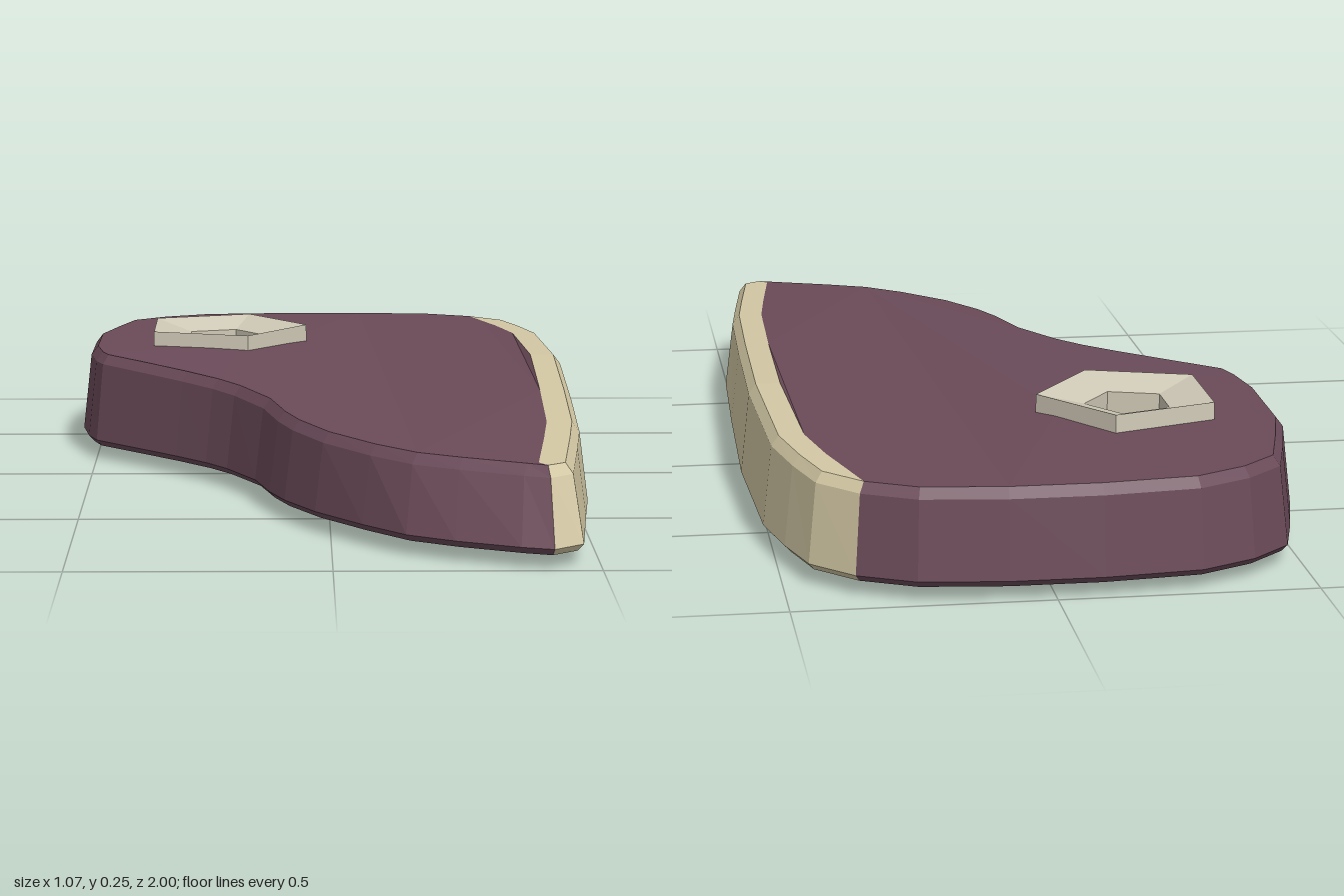
import * as THREE from 'three';

// Outline of the steak at its widest level, [x, z]; the first FAT + 1 points carry the fat rim
const OUTLINE = [
  [0.37, -0.925], [0.45, -0.84], [0.485, -0.72], [0.515, -0.58], [0.53, -0.2], [0.522, 0.2], [0.512, 0.52],
  [0.495, 0.68], [0.468, 0.95], [0.41, 1.0],
  [0.35, 0.98], [0.23, 0.92], [0.14, 0.86], [0.06, 0.76], [-0.03, 0.63], [-0.09, 0.51], [-0.12, 0.42],
  [-0.15, 0.29], [-0.21, 0.16], [-0.255, 0.09], [-0.32, 0.01], [-0.4, -0.08], [-0.5, -0.19], [-0.52, -0.25],
  [-0.537, -0.36], [-0.537, -0.58], [-0.505, -0.72], [-0.47, -0.85], [-0.39, -0.925], [-0.28, -0.98],
  [-0.09, -1.0], [0.09, -1.0], [0.26, -0.98],
];
const FAT = 9;
const N = OUTLINE.length;
const BONE = { x: -0.228, z: -0.47 };

// Height of the upper face: highest near the middle, falling to the tip
const topY = (z) => (z > -0.2 ? 0.226 - 0.038 * (z + 0.2) : 0.226 + 0.016 * (z + 0.2));

// Ring of points: outline moved inwards; fatInset only moves points inside the fat rim;
// tip pulls the narrow end back
function ring(inset, height, tip = 0, fatInset = 0) {
  return OUTLINE.map(([x, z], i) => {
    const [px, pz] = OUTLINE[(i + N - 1) % N];
    const [nx, nz] = OUTLINE[(i + 1) % N];
    const len = Math.hypot(nx - px, nz - pz);
    const d = inset;
    const rim = i > 0 && i < FAT ? fatInset : 0;
    const rx = x - (d * (nz - pz)) / len - rim;
    const rz = z + (d * (nx - px)) / len - tip * THREE.MathUtils.smoothstep(z, 0.65, 1);
    return new THREE.Vector3(rx, height(rz), rz);
  });
}

// Triangles joining two rings between two outline points
function band(out, low, high, from, to) {
  for (let i = from; i < to; i++) {
    const a = i % N, b = (i + 1) % N;
    out.push(low[a], high[a], high[b], low[a], high[b], low[b]);
  }
}

// Flat cap with a pentagonal opening for the bone
function cap(out, points, height, up) {
  const contour = points.map((p) => new THREE.Vector2(p.x, p.z));
  const hole = [];
  for (let i = 0; i < 5; i++) {
    const a = (i * Math.PI * 2) / 5;
    hole.push(new THREE.Vector2(BONE.x + 0.14 * Math.cos(a), BONE.z + 0.14 * Math.sin(a)));
  }
  const all = [...contour, ...hole];
  for (const face of THREE.ShapeUtils.triangulateShape(contour, [hole])) {
    const [a, b, c] = face.map((k) => new THREE.Vector3(all[k].x, height(all[k].y), all[k].y));
    const facing = new THREE.Vector3().subVectors(b, a).cross(new THREE.Vector3().subVectors(c, a)).y;
    if (facing > 0 === up) out.push(a, b, c);
    else out.push(a, c, b);
  }
}

function makeMesh(name, geometry, color) {
  const mesh = new THREE.Mesh(geometry, new THREE.MeshStandardMaterial({ color, flatShading: true }));
  mesh.name = name;
  return mesh;
}

function fromTriangles(points) {
  const geometry = new THREE.BufferGeometry().setFromPoints(points);
  geometry.computeVertexNormals();
  return geometry;
}

export function createModel() {
  const group = new THREE.Group();
  group.name = 'steak';

  // Levels from the underside, up the sloping wall, over the bevel to the upper face
  const under = () => 0.027;
  const rings = [
    ring(0.012, under, 0, 0.03),
    ring(0.012, under),
    ring(0, () => 0.04),
    ring(0.018, (z) => topY(z) - 0.02, 0.045),
    ring(0.033, topY, 0.05),
    ring(0.033, topY, 0.05, 0.05),
  ];
  const meat = [], fat = [];
  for (let k = 0; k < rings.length - 1; k++) {
    band(fat, rings[k], rings[k + 1], 0, FAT);
    if (k > 0 && k < 4) band(meat, rings[k], rings[k + 1], FAT, N);
  }
  cap(meat, rings[5], topY, true);
  cap(meat, rings[0], under, false);
  group.add(makeMesh('meat', fromTriangles(meat), 0x6b4b59));
  group.add(makeMesh('fatRim', fromTriangles(fat), 0xd3c8a4));

  // Five-sided hollow bone, dished on top and drawn out below
  const profile = [[0.09, 0], [0.197, 0.021], [0.187, 0.255], [0.09, 0.232], [0.09, 0]]
    .map(([r, y]) => new THREE.Vector2(r, y));
  const bone = makeMesh('bone', new THREE.LatheGeometry(profile, 5, Math.PI / 2), 0xcfc9b6);
  bone.position.set(BONE.x, 0, BONE.z);
  group.add(bone);
  return group;
}
